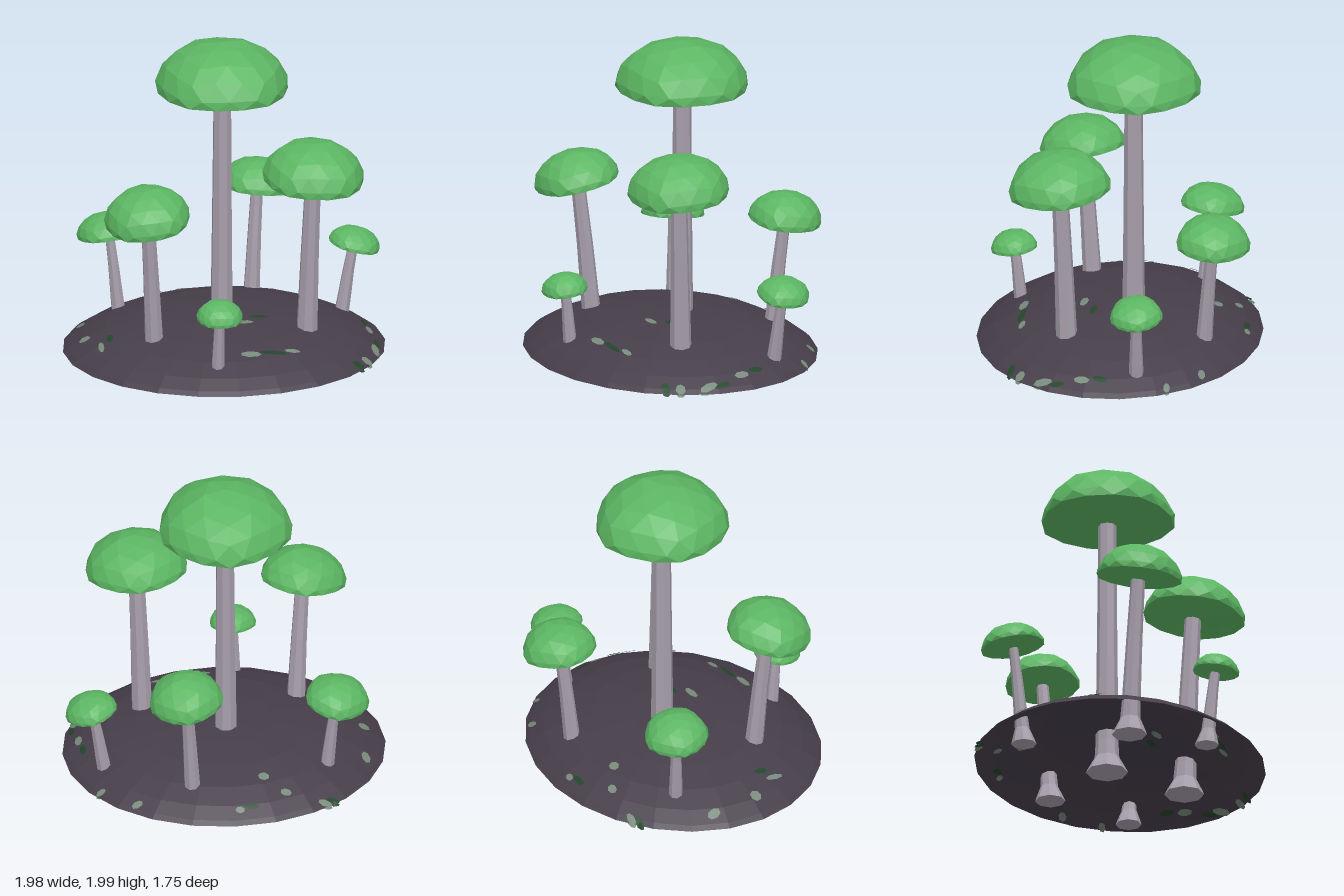
import * as THREE from 'three';

const material = (name, color, side = THREE.FrontSide) => {
  const m = new THREE.MeshStandardMaterial({ color, side });
  m.name = name;
  return m;
};

// Split the triangles so every facet has its own flat normal
const faceted = (geometry) => {
  const g = geometry.index ? geometry.toNonIndexed() : geometry;
  g.computeVertexNormals();
  return g;
};

// Move each vertex of a geometry by a rule
const reshape = (geometry, rule) => {
  const p = geometry.attributes.position;
  const v = new THREE.Vector3();
  for (let i = 0; i < p.count; i++) {
    rule(v.fromBufferAttribute(p, i));
    p.setXYZ(i, v.x, v.y, v.z);
  }
  return geometry;
};

const RX = 0.99, RZ = 0.87;
const PROFILE = [[1, 0.035], [0.97, 0.06], [0.88, 0.115], [0.74, 0.175], [0.55, 0.225], [0.3, 0.255], [0, 0.268]];

// Height of the mound above a ground point
function moundHeight(x, z) {
  const r = Math.min(1, Math.hypot(x / RX, z / RZ));
  const i = PROFILE.findIndex(([pr]) => pr <= r);
  if (i <= 0) return PROFILE[0][1];
  const [r0, y0] = PROFILE[i - 1], [r1, y1] = PROFILE[i];
  return y0 + (y1 - y0) * (r - r0) / (r1 - r0);
}

// Half an icosphere, five-cornered seen from above, with a shallow closed underside
function capGeometry(radius, height) {
  const g = new THREE.IcosahedronGeometry(1, 2);
  g.rotateX(-Math.atan((1 + Math.sqrt(5)) / 2));
  g.rotateY(Math.PI);
  reshape(g, (v) => {
    const a = Math.atan2(v.x, -v.z);
    const r = Math.hypot(v.x, v.z);
    if (v.y < 0.02) v.y = -0.11 * (1 - r);
    else v.y *= 1 + 0.03 * Math.sin(7 * v.x + 5 * v.z);
    const k = radius * (1 + r * (0.025 * Math.cos(5 * a) + 0.012 * Math.sin(3 * a + 1)));
    v.set(v.x * k, v.y * height, v.z * k);
  });
  return faceted(g);
}

// Eight-sided stem with a flared foot, leaning from base to top
function stemGeometry(base, top, height, r0, r1) {
  const points = [[0, 0], [r0 * 1.85, 0], [r0 * 1.6, 0.035], [r0 * 1.08, 0.1], [r0, 0.2],
    [r0 * 0.45 + r1 * 0.55, 0.2 + (height - 0.2) * 0.5], [r1, height]]
    .map(([x, y]) => new THREE.Vector2(x, y));
  const g = new THREE.LatheGeometry(points, 8, Math.PI / 8);
  reshape(g, (v) => {
    const t = (v.y - 0.2) / (height - 0.2);
    const s = t > 0 ? Math.pow(t, 1.15) : t;
    v.x += base[0] + (top[0] - base[0]) * s;
    v.z += base[1] + (top[1] - base[1]) * s;
  });
  return faceted(g);
}

// cap: centre, radius, height, lean in x and z; base: stem position at the soil; r: stem radii
const MUSHROOMS = [
  { cap: [0, 1.69, -0.085], radius: 0.412, height: 0.302, lean: [0, 0], base: [-0.005, -0.085], r: [0.07, 0.055] },
  { cap: [0.52, 1.205, 0.255], radius: 0.315, height: 0.238, lean: [0.05, 0.09], base: [0.485, 0.22], r: [0.066, 0.05] },
  { cap: [-0.51, 1.015, 0.355], radius: 0.265, height: 0.205, lean: [-0.12, 0.17], base: [-0.463, 0.285], r: [0.058, 0.043] },
  { cap: [0.28, 0.82, -0.65], radius: 0.228, height: 0.18, lean: [0.1, -0.08], base: [0.24, -0.59], r: [0.05, 0.037] },
  { cap: [-0.66, 0.635, -0.42], radius: 0.197, height: 0.14, lean: [-0.13, -0.12], base: [-0.61, -0.39], r: [0.042, 0.028] },
  { cap: [0.835, 0.545, -0.3], radius: 0.162, height: 0.112, lean: [0.24, 0], base: [0.77, -0.285], r: [0.043, 0.03] },
  { cap: [-0.105, 0.485, 0.69], radius: 0.143, height: 0.112, lean: [0, 0.12], base: [-0.11, 0.655], r: [0.04, 0.03] },
];

// Patches as [x, z, half width, half depth]
const PALE_PATCHES = [
  [-0.04, -0.79, 0.03, 0.018], [-0.33, -0.67, 0.035, 0.025], [-0.2, -0.57, 0.035, 0.03], [-0.57, -0.69, 0.045, 0.02],
  [0.58, -0.65, 0.035, 0.022], [0.79, -0.48, 0.03, 0.02], [-0.85, -0.27, 0.028, 0.045], [-0.86, 0.03, 0.035, 0.035],
  [-0.78, 0.22, 0.018, 0.06], [0.89, 0.03, 0.023, 0.05], [0.9, 0.27, 0.025, 0.06], [0.1, 0.58, 0.065, 0.028],
  [0.36, 0.53, 0.05, 0.02], [0.83, 0.43, 0.035, 0.03], [0.1, 0.2, 0.06, 0.025],
];
const DARK_PATCHES = [
  [-0.11, -0.77, 0.05, 0.018], [0.24, 0.56, 0.09, 0.02], [-0.72, 0.16, 0.02, 0.045], [0.92, 0.18, 0.018, 0.05],
  [-0.62, -0.66, 0.04, 0.018], [0.87, -0.08, 0.02, 0.05], [0.77, 0.5, 0.04, 0.025], [0.2, 0.12, 0.06, 0.02],
];

export function createModel() {
  const group = new THREE.Group();
  const green = material('cap green', 0x5cb663);
  const grey = material('stem grey', 0xa79fac);
  const soil = material('dark soil', 0x463e4a, THREE.DoubleSide);
  const pale = material('pale moss', 0x778a7b, THREE.DoubleSide);
  const dark = material('dark moss', 0x23452b, THREE.DoubleSide);

  const add = (name, geometry, mat, parent = group) => {
    const mesh = new THREE.Mesh(geometry, mat);
    mesh.name = name;
    parent.add(mesh);
    return mesh;
  };

  // Hollow oval mound
  const mound = new THREE.LatheGeometry(PROFILE.map(([r, y]) => new THREE.Vector2(r, y)), 24);
  mound.scale(RX, 1, RZ);
  add('mound', faceted(mound), soil);

  // Moss patches hugging both faces of the mound
  const addPatches = (name, list, mat) => list.forEach(([x, z, w, d], n) => {
    for (const lift of [0.006, -0.014]) {
      const g = new THREE.CircleGeometry(1, 7);
      g.rotateX(-Math.PI / 2);
      g.rotateY(n * 1.3);
      reshape(g, (v) => {
        v.set(x + v.x * w, 0, z + v.z * d);
        v.y = moundHeight(v.x, v.z) + lift;
      });
      add(name, faceted(g), mat);
    }
  });
  addPatches('paleMoss', PALE_PATCHES, pale);
  addPatches('darkMoss', DARK_PATCHES, dark);

  // Mushrooms
  for (const { cap, radius, height, lean, base, r } of MUSHROOMS) {
    const mushroom = new THREE.Group();
    mushroom.name = 'mushroom';
    group.add(mushroom);
    add('stem', stemGeometry(base, [cap[0], cap[2]], cap[1] + 0.03, r[0], r[1]), grey, mushroom);
    const top = add('cap', capGeometry(radius, height), green, mushroom);
    top.position.set(...cap);
    top.rotation.set(lean[1], 0, -lean[0]);
  }
  return group;
}
